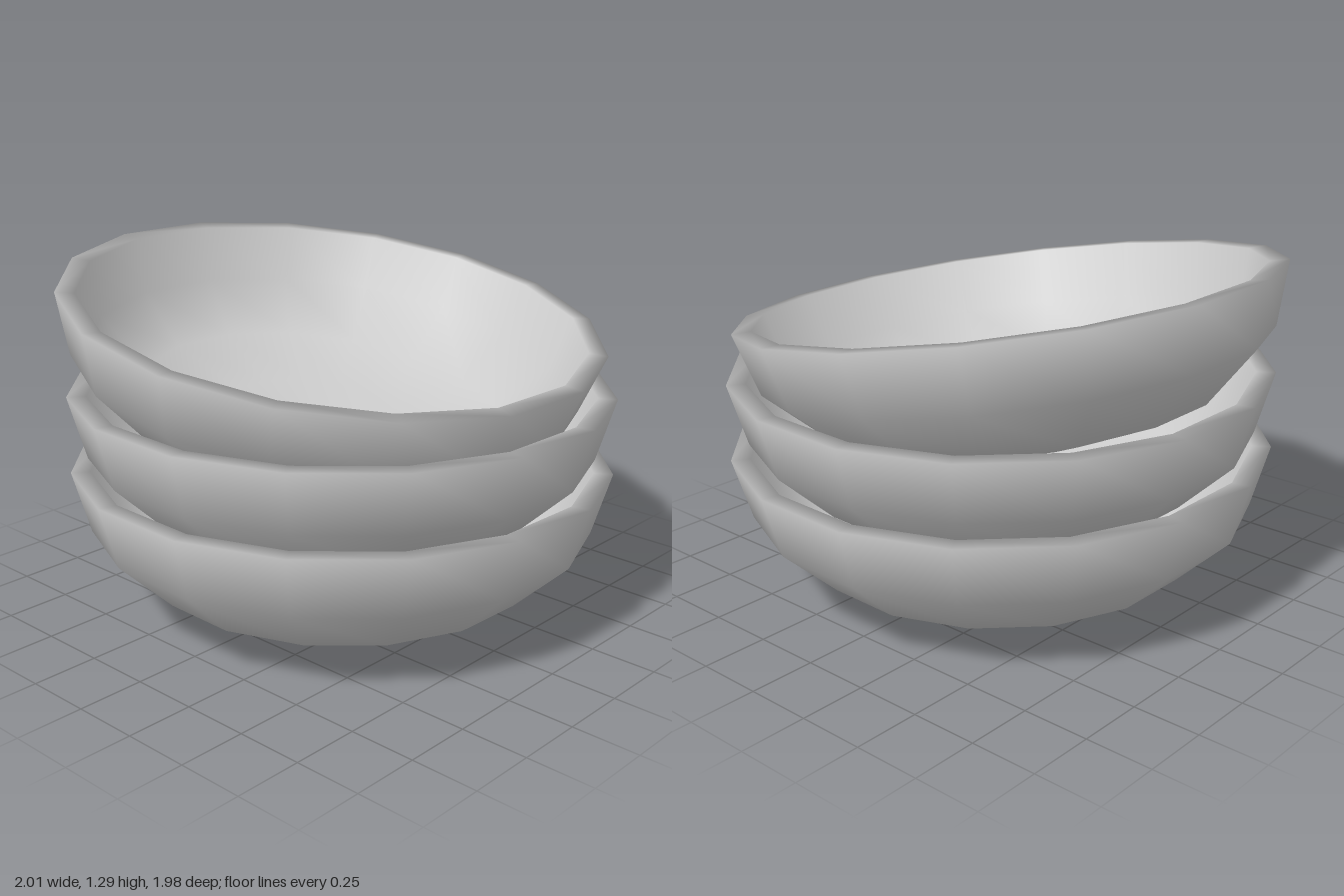
import * as THREE from 'three';

const SIDES = 16;

// Bowl cross-section as radius, height: outer wall up, rim, inner wall back down
const PROFILE = [
  [0, 0], [0.41, 0.03], [0.735, 0.125], [0.94, 0.32], [1.007, 0.553],
  [0.937, 0.553], [0.88, 0.345], [0.69, 0.175], [0.39, 0.09], [0, 0.06],
].map(([r, y]) => new THREE.Vector2(r, y));

// Position of the base centre and sideways tilt of each bowl
const BOWLS = [
  { name: 'bottomBowl', at: [0.007, 0, 0], tilt: 0 },
  { name: 'middleBowl', at: [0.007, 0.287, 0], tilt: 0 },
  { name: 'topBowl', at: [-0.12, 0.582, 0], tilt: -0.1635 },
];

export function createModel() {
  const model = new THREE.Group();
  model.name = 'stackedBowls';
  const material = new THREE.MeshStandardMaterial({ color: 0xcccccc });

  // Half-step start puts flats, not corners, on the axes
  const geometry = new THREE.LatheGeometry(PROFILE, SIDES, Math.PI / SIDES);

  for (const { name, at, tilt } of BOWLS) {
    const bowl = new THREE.Mesh(geometry, material);
    bowl.name = name;
    bowl.position.set(...at);
    bowl.rotation.set(-0.015, -0.02, tilt);
    model.add(bowl);
  }
  return model;
}
